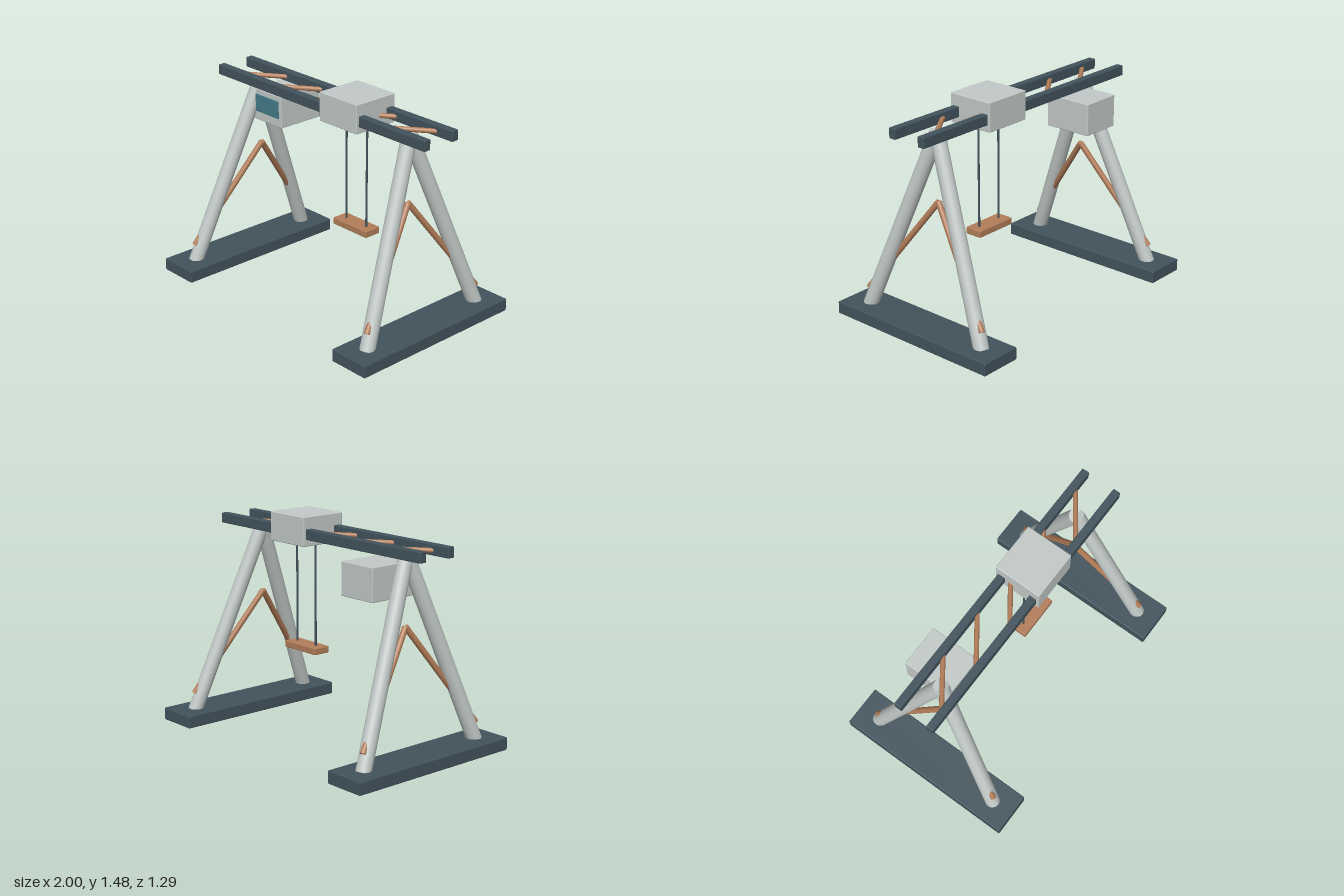
import * as THREE from 'three';
import { RoundedBoxGeometry } from 'three/addons/geometries/RoundedBoxGeometry.js';

const mat = (color) => new THREE.MeshStandardMaterial({ color });
const V = (x, y, z) => new THREE.Vector3(x, y, z);

export function createModel() {
  const model = new THREE.Group();
  const pale = mat(0xc3cac8), slate = mat(0x42535d), wood = mat(0xb27d59), glass = mat(0x437c89);

  // Softened box given by its minimum and maximum corners
  function box(name, material, min, max, radius = 0.006) {
    const size = max.clone().sub(min);
    const mesh = new THREE.Mesh(new RoundedBoxGeometry(size.x, size.y, size.z, 2, radius), material);
    mesh.position.copy(min).add(max).multiplyScalar(0.5);
    mesh.name = name;
    model.add(mesh);
  }

  // Round bar running from point a to point b
  function bar(name, material, a, b, radius, sides = 32) {
    const dir = b.clone().sub(a);
    const mesh = new THREE.Mesh(new THREE.CylinderGeometry(radius, radius, dir.length(), sides), material);
    mesh.position.copy(a).add(b).multiplyScalar(0.5);
    mesh.quaternion.setFromUnitVectors(V(0, 1, 0), dir.normalize());
    mesh.name = name;
    model.add(mesh);
  }

  // Two A-frames: base beam, pair of legs, pair of braces
  for (const sx of [-1, 1]) {
    box('baseBeam', slate, V(sx * 0.855 - 0.145, 0, -0.645), V(sx * 0.855 + 0.145, 0.085, 0.645));
    for (const sz of [-1, 1]) {
      bar('leg', pale, V(sx * 0.857, 0.07, sz * 0.487), V(sx * 0.705, 1.325, 0), 0.05);
      bar('brace', wood, V(sx * 0.857, 0.19, sz * 0.492), V(sx * 0.705, 0.87, 0), 0.02, 20);
    }
  }

  // Twin rails joined by slanted rungs
  for (const z of [-0.12, 0.12]) {
    box('rail', slate, V(-0.97, 1.325, z - 0.026), V(0.97, 1.395, z + 0.026));
  }
  for (let i = -2; i <= 2; i++) {
    const x = i * 0.345;
    bar('rung', wood, V(x - 0.145, 1.355, 0.105), V(x + 0.145, 1.355, -0.105), 0.016, 16);
  }

  // Trolley with the hanging platform
  box('trolley', pale, V(0.07, 1.28, -0.165), V(0.41, 1.475, 0.165));
  for (const x of [0.147, 0.335]) bar('rope', slate, V(x, 0.56, 0), V(x, 1.3, 0), 0.007, 12);
  box('platform', wood, V(0.085, 0.537, -0.061), V(0.395, 0.583, 0.061));

  // Operator cabin and its front window
  box('cabin', pale, V(-0.705, 1.06, -0.28), V(-0.42, 1.28, 0.063));
  box('cabinWindow', glass, V(-0.675, 1.122, 0.05), V(-0.445, 1.243, 0.071), 0.003);

  return model;
}
